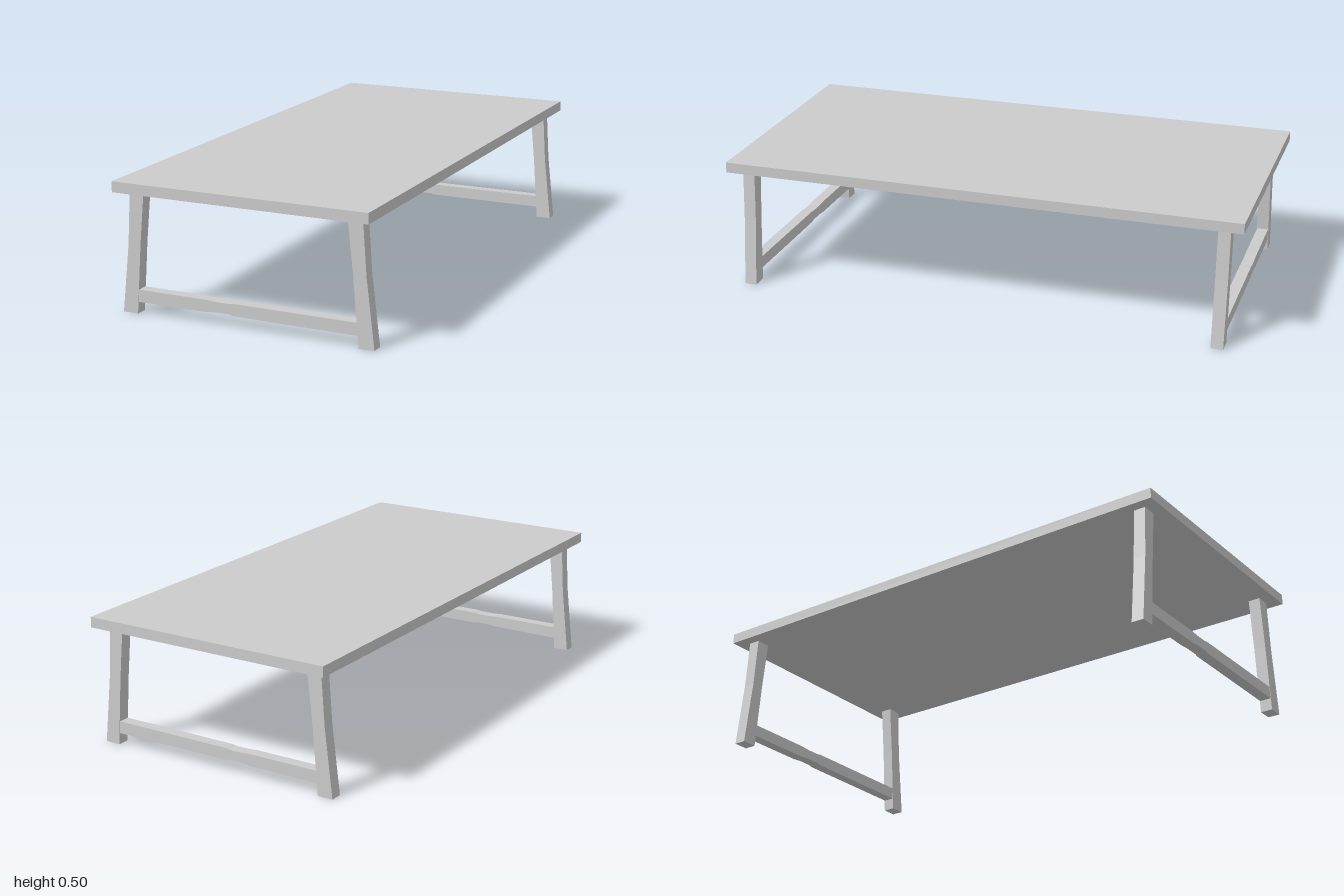
import * as THREE from 'three';

const material = new THREE.MeshStandardMaterial({ color: 0xcccccc, flatShading: true });

// Extrudes an outline in the xy plane, centred on z = 0
function slab(name, points, depth) {
  const shape = new THREE.Shape(points.map(([x, y]) => new THREE.Vector2(x, y)));
  const geometry = new THREE.ExtrudeGeometry(shape, { depth, bevelEnabled: false });
  geometry.translate(0, 0, -depth / 2);
  const mesh = new THREE.Mesh(geometry, material);
  mesh.name = name;
  return mesh;
}

// Slightly bent, splayed leg outline on the +x side
const legOutline = [
  [0.44, 0], [0.5, 0], [0.47, 0.26], [0.457, 0.46], [0.4, 0.46], [0.42, 0.26],
];

// Stretcher with a slight hand-cut waist
const stretcherOutline = [
  [-0.44, 0.045], [-0.16, 0.046], [-0.12, 0.05], [-0.06, 0.05], [-0.05, 0.046], [0.44, 0.045],
  [0.435, 0.092], [-0.05, 0.092], [-0.06, 0.089], [-0.12, 0.089], [-0.16, 0.092], [-0.435, 0.092],
];

export function createModel() {
  const table = new THREE.Group();
  table.name = 'lowTable';

  // Flat top board
  const top = new THREE.Mesh(new THREE.BoxGeometry(1, 0.04, 2), material);
  top.name = 'tabletop';
  top.position.y = 0.48;
  table.add(top);

  // A leg frame at each end
  for (const [name, z] of [['frontLegFrame', 0.927], ['backLegFrame', -0.923]]) {
    const frame = new THREE.Group();
    frame.name = name;
    const mirrored = legOutline.map(([x, y]) => [-x, y]);
    frame.add(
      slab('leftLeg', legOutline, 0.047),
      slab('rightLeg', mirrored, 0.047),
      slab('stretcher', stretcherOutline, 0.044),
    );
    frame.position.z = z;
    table.add(frame);
  }
  return table;
}
